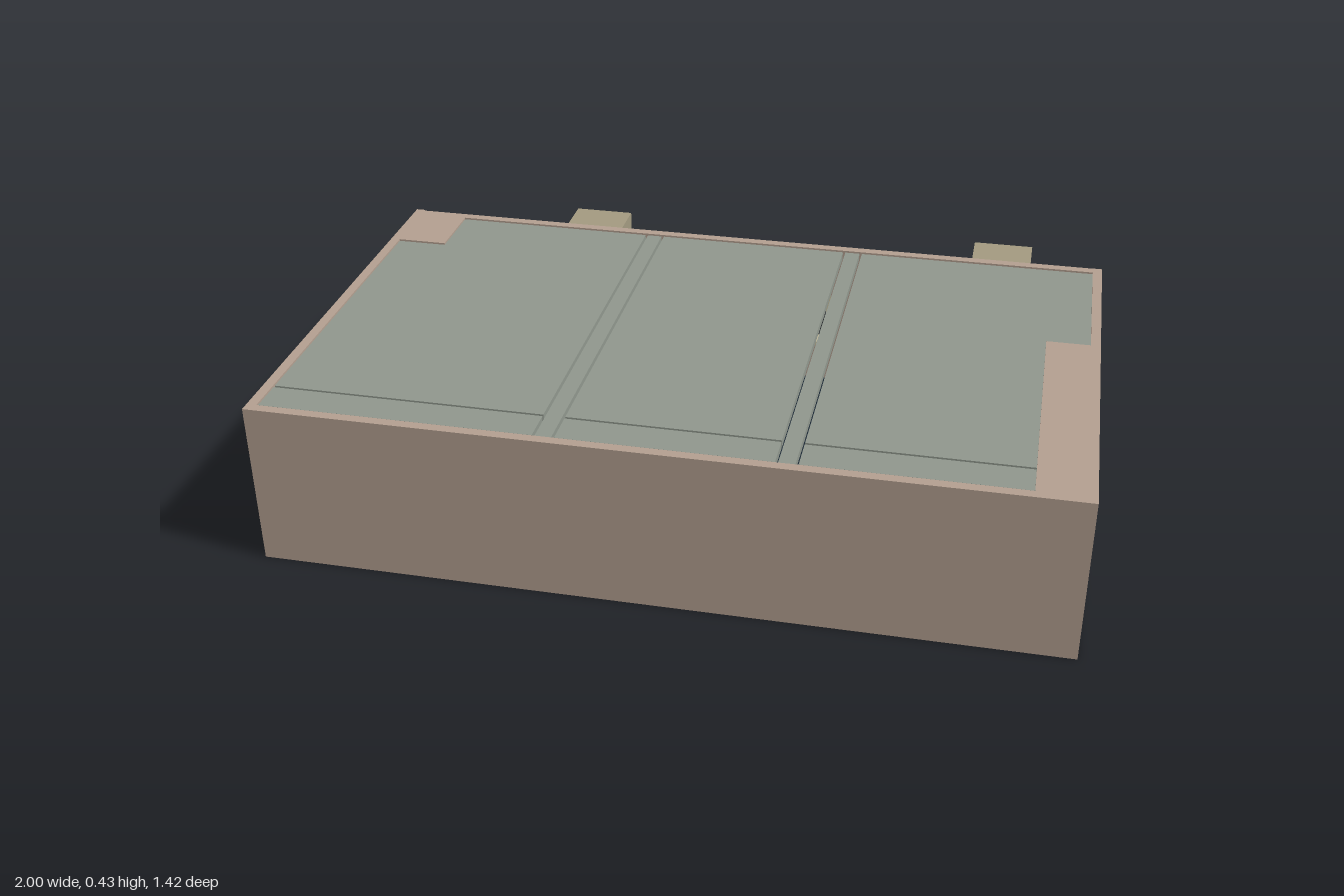
import * as THREE from 'three';

const mat = (color) => new THREE.MeshStandardMaterial({ color });
const WALL = mat(0xb39f90), CEILING = mat(0x90978d), FLOOR = mat(0x1d2935);
const WOOD = mat(0xa39a80), FRAME = mat(0xcabf9d), LEAF = mat(0xdbbcac), DARK = mat(0x3c4144);

// Box given by its min and max on each axis
function box(parent, name, material, x0, x1, y0, y1, z0, z1) {
  const mesh = new THREE.Mesh(new THREE.BoxGeometry(x1 - x0, y1 - y0, z1 - z0), material);
  mesh.position.set((x0 + x1) / 2, (y0 + y1) / 2, (z0 + z1) / 2);
  mesh.name = name;
  parent.add(mesh);
  return mesh;
}

function rect(path, x0, x1, y0, y1) {
  path.moveTo(x0, y0);
  path.lineTo(x1, y0);
  path.lineTo(x1, y1);
  path.lineTo(x0, y1);
  path.closePath();
  return path;
}

// Extruded panel in the xy plane with rectangular openings
function panel(parent, name, material, outer, holes, z0, z1) {
  const shape = rect(new THREE.Shape(), ...outer);
  for (const h of holes) shape.holes.push(rect(new THREE.Path(), ...h));
  const geometry = new THREE.ExtrudeGeometry(shape, { depth: z1 - z0, bevelEnabled: false });
  const mesh = new THREE.Mesh(geometry, material);
  mesh.position.z = z0;
  mesh.name = name;
  parent.add(mesh);
}

const inset = ([x0, x1, y0, y1], t) => [x0 + t, x1 - t, y0 + t, y1 - t];

export function createModel() {
  const model = new THREE.Group();
  const doors = [[-0.555, -0.39, 0.01, 0.393], [0.64, 0.805, 0.01, 0.393]];
  const windows = [[0.05, 0.252, 0.12, 0.32], [0.322, 0.525, 0.12, 0.32]];

  // Outer walls; the back wall has door and window openings
  const walls = new THREE.Group();
  walls.name = 'walls';
  model.add(walls);
  box(walls, 'rightWall', WALL, -1, -0.975, 0, 0.43, -0.478, 0.71);
  box(walls, 'leftWall', WALL, 0.975, 1, 0, 0.43, -0.474, 0.71);
  box(walls, 'frontWall', WALL, -0.975, 0.975, 0, 0.43, 0.685, 0.71);
  panel(walls, 'backWall', WALL, [-0.975, 0.975, 0, 0.43],
    [...doors.map((d) => inset(d, 0.005)), ...windows.map((w) => inset(w, 0.005))], -0.473, -0.448);

  // Solid corner blocks inside the room
  box(walls, 'cornerBlock', WALL, -0.975, -0.84, 0.012, 0.43, -0.448, -0.268);
  box(walls, 'sideBlock', WALL, 0.863, 0.975, 0.012, 0.43, -0.02, 0.685);

  box(model, 'floor', FLOOR, -0.975, 0.975, 0.002, 0.012, -0.448, 0.685);

  // Ceiling panels separated by narrow slots, with two long strips between the bays
  const ceiling = new THREE.Group();
  ceiling.name = 'ceiling';
  model.add(ceiling);
  const top = 0.425, under = 0.405;
  for (const [x0, x1] of [[-0.975, -0.293], [-0.239, 0.281], [0.335, 0.975]]) {
    box(ceiling, 'ceilingPanel', CEILING, x0, x1, under, top, -0.448, 0.582);
    box(ceiling, 'ceilingFrontPanel', CEILING, x0, x1, under, top, 0.589, 0.677);
  }
  for (const [x0, x1] of [[-0.286, -0.246], [0.288, 0.328]]) {
    box(ceiling, 'ceilingStrip', CEILING, x0, x1, under, top, -0.448, 0.685);
  }

  // Deep door surrounds, each with an open leaf and a small handle
  for (const d of doors) {
    const door = new THREE.Group();
    door.name = 'door';
    model.add(door);
    panel(door, 'doorSurround', WOOD, d, [inset(d, 0.014)], -0.66, -0.44);
    const x = d[1] - 0.016;
    box(door, 'doorLeaf', LEAF, x - 0.007, x, 0.027, 0.37, -0.708, -0.64);
    box(door, 'doorHandle', DARK, x - 0.017, x - 0.007, 0.19, 0.2, -0.692, -0.682);
    box(door, 'doorHandle', DARK, x, x + 0.008, 0.19, 0.2, -0.705, -0.68);
  }

  // Two window frames with dark shutter leaves meeting between them
  windows.forEach((w, i) => {
    const win = new THREE.Group();
    win.name = 'window';
    model.add(win);
    panel(win, 'windowFrame', FRAME, w, [inset(w, 0.012)], -0.525, -0.445);
    const a = i === 0 ? w[1] - 0.065 : w[0] + 0.012;
    box(win, 'windowShutter', DARK, a, a + 0.053, 0.132, 0.308, -0.5, -0.49);
  });
  box(model, 'middleShutter', DARK, 0.252, 0.322, 0.13, 0.31, -0.516, -0.504);

  return model;
}
